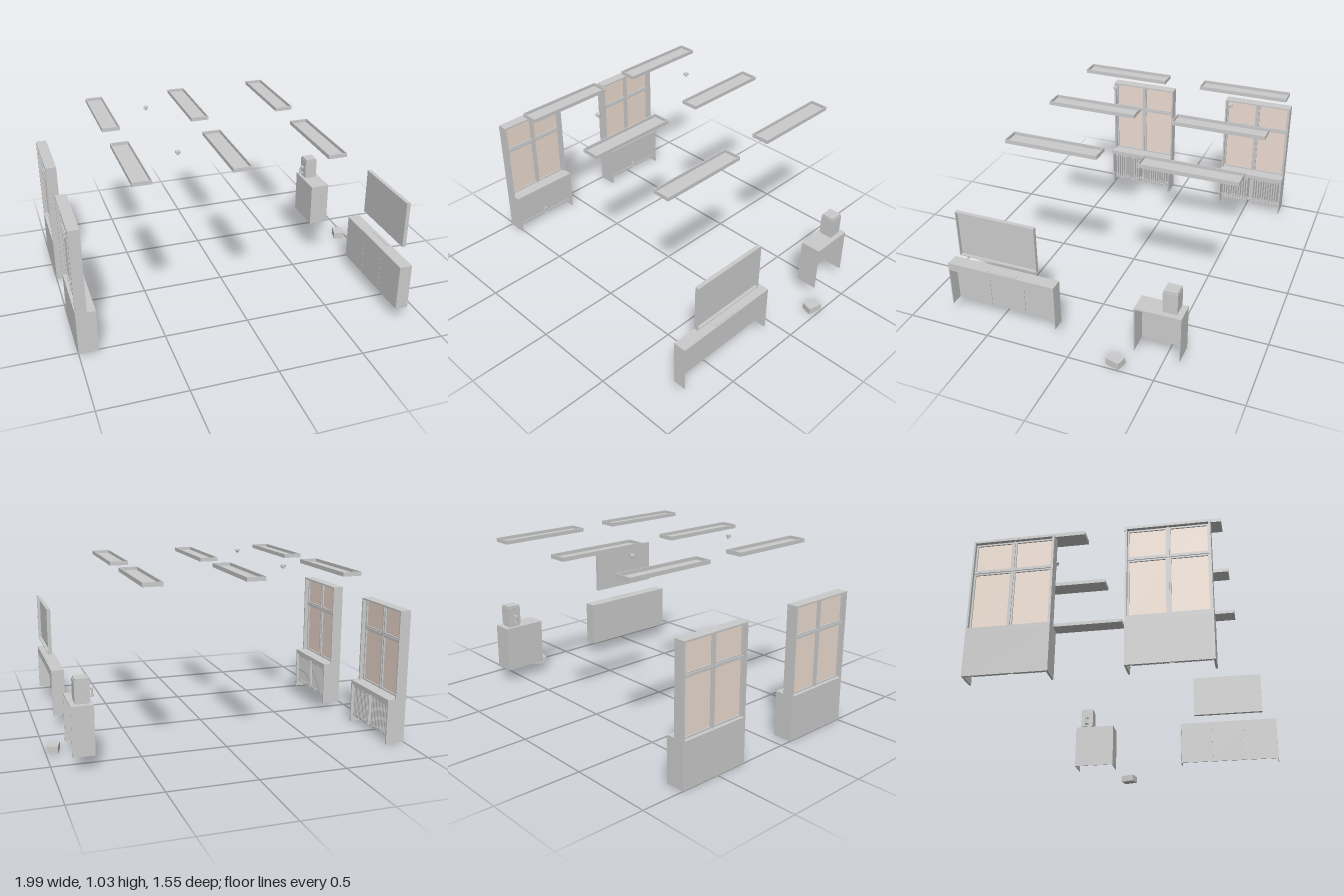
import * as THREE from 'three';

const grey = new THREE.MeshStandardMaterial({ color: 0xcccccc, side: THREE.DoubleSide });
const tan = new THREE.MeshStandardMaterial({ color: 0xeeddd0, side: THREE.DoubleSide });

// Box given by its limits on each axis
function box(parent, name, x0, x1, y0, y1, z0, z1, mat = grey) {
  const m = new THREE.Mesh(new THREE.BoxGeometry(x1 - x0, y1 - y0, z1 - z0), mat);
  m.position.set((x0 + x1) / 2, (y0 + y1) / 2, (z0 + z1) / 2);
  m.name = name;
  parent.add(m);
  return m;
}

function group(parent, name) {
  const g = new THREE.Group();
  g.name = name;
  parent.add(g);
  return g;
}

function cylinder(parent, name, r, length, x, y, z, axis = 'y') {
  const m = new THREE.Mesh(new THREE.CylinderGeometry(r, r, length, 12), grey);
  if (axis === 'z') m.rotation.x = Math.PI / 2;
  if (axis === 'x') m.rotation.z = Math.PI / 2;
  m.position.set(x, y, z);
  m.name = name;
  parent.add(m);
}

// Radiator: vertical columns joined by header pipes
function radiator(parent, z0, z1) {
  const g = group(parent, 'radiator');
  const n = 11, pitch = (z1 - z0) / n;
  for (let i = 0; i < n; i++) {
    const z = z0 + (i + 0.5) * pitch;
    box(g, 'radiatorColumn', -0.912, -0.898, 0.04, 0.235, z - 0.0045, z + 0.0045);
    box(g, 'radiatorFin', -0.97, -0.912, 0.04, 0.235, z - 0.003, z + 0.003);
    for (const y of [0.04, 0.222])
      box(g, 'radiatorLug', -0.914, -0.895, y, y + 0.016, z - 0.007, z + 0.007);
  }
  for (const y of [0.057, 0.225]) {
    box(g, 'radiatorHeader', -0.935, -0.906, y - 0.006, y + 0.006, z0, z1);
    cylinder(g, 'radiatorPipe', 0.006, z1 - z0 + 0.02, -0.92, y, (z0 + z1) / 2, 'z');
  }
}

// Window casing with four panes above a radiator recess
function windowUnit(parent, z0, z1) {
  const g = group(parent, 'windowUnit');
  const t = 0.01, zc = (z0 + z1) / 2;
  for (const z of [z0, z1 - t]) {
    box(g, 'casingSide', -1, -0.935, 0.265, 0.778, z, z + t);
    box(g, 'recessSide', -1, -0.885, 0, 0.24, z, z + t);
  }
  box(g, 'casingTop', -1, -0.935, 0.768, 0.778, z0 + t, z1 - t);
  box(g, 'sill', -1, -0.885, 0.24, 0.265, z0, z1);
  box(g, 'recessBack', -1, -0.99, 0, 0.24, z0 + t, z1 - t);
  box(g, 'mullion', -0.985, -0.955, 0.265, 0.768, zc - 0.005, zc + 0.005);
  box(g, 'transom', -0.985, -0.955, 0.59, 0.6, z0 + t, z1 - t);
  // Four sashes, each a frame around a pane
  const s = 0.009;
  for (const [a, b] of [[z0 + t, zc - 0.005], [zc + 0.005, z1 - t]])
    for (const [c, d] of [[0.265, 0.59], [0.6, 0.768]]) {
      box(g, 'sashStile', -0.98, -0.96, c, d, a, a + s);
      box(g, 'sashStile', -0.98, -0.96, c, d, b - s, b);
      box(g, 'sashRail', -0.98, -0.96, c, c + s, a + s, b - s);
      box(g, 'sashRail', -0.98, -0.96, d - s, d, a + s, b - s);
      box(g, 'pane', -0.973, -0.969, c + s, d - s, a + s, b - s, tan);
    }
  radiator(g, z0 + 0.022, zc - 0.013);
  radiator(g, zc + 0.013, z1 - 0.022);
}

// Ceiling light: shallow tray open at the top
function ceilingLight(parent, x0, x1, z0, z1) {
  const g = group(parent, 'ceilingLight');
  const y0 = 0.995, y1 = 1.018, t = 0.005;
  box(g, 'lightPanel', x0, x1, y0, y0 + t, z0, z1);
  for (const x of [x0, x1 - t]) box(g, 'lightSide', x, x + t, y0 + t, y1, z0, z1);
  for (const z of [z0, z1 - t]) box(g, 'lightEnd', x0 + t, x1 - t, y0 + t, y1, z, z + t);
}

// Cabinet with its back (+x) and underside open
function cabinet(parent, name, x0, x1, y0, y1, z0, z1, topThickness) {
  const g = group(parent, name);
  const t = 0.005, yt = y1 - topThickness;
  box(g, 'cabinetTop', x0, x1, yt, y1, z0, z1);
  for (const z of [z0, z1 - t]) box(g, 'cabinetSide', x0, x1, y0, yt, z, z + t);
  return g;
}

export function createModel() {
  const model = new THREE.Group();
  model.name = 'roomFurnishings';

  windowUnit(model, 0.073, 0.512);
  windowUnit(model, -0.743, -0.304);

  for (const [x0, x1] of [[-0.657, -0.55], [-0.11, -0.002], [0.44, 0.548]])
    for (const [z0, z1] of [[-0.778, -0.23], [0, 0.547]]) ceilingLight(model, x0, x1, z0, z1);

  // Smoke detectors between the lights
  const profile = [[0, 1.008], [0.007, 1.008], [0.009, 1.016], [0.015, 1.018], [0.015, 1.029], [0, 1.029]]
    .map(([r, y]) => new THREE.Vector2(r, y));
  for (const z of [-0.485, 0.25]) {
    const d = new THREE.Mesh(new THREE.LatheGeometry(profile, 20), grey.clone());
    d.material.flatShading = true;
    d.position.set(-0.33, 0, z);
    d.name = 'smokeDetector';
    model.add(d);
  }

  // Sideboard with three doors
  const low = cabinet(model, 'sideboard', 0.822, 0.898, 0.08, 0.361, 0.118, 0.776, 0.047);
  const w = (0.766 - 0.128) / 3;
  for (let i = 0; i < 3; i++)
    box(low, 'door', 0.822, 0.828, 0.08, 0.314, 0.123 + i * (w + 0.0033) + 0.001, 0.123 + (i + 1) * (w + 0.0033) - 0.001);
  box(low, 'topBar', 0.874, 0.89, 0.361, 0.364, 0.35, 0.53);

  // Wall screen, a shallow shell open toward the wall
  const screen = group(model, 'wallScreen');
  box(screen, 'screenPanel', 0.876, 0.881, 0.44, 0.72, 0.212, 0.686);
  for (const y of [0.44, 0.715]) box(screen, 'screenRim', 0.881, 0.899, y, y + 0.005, 0.212, 0.686);
  for (const z of [0.212, 0.681]) box(screen, 'screenRim', 0.881, 0.899, 0.445, 0.715, z, z + 0.005);

  // Small cabinet with a drinks machine on top
  const small = cabinet(model, 'smallCabinet', 0.775, 0.898, 0.08, 0.36, -0.61, -0.347, 0.008);
  box(small, 'cabinetFront', 0.775, 0.78, 0.08, 0.352, -0.605, -0.352);
  const machine = group(model, 'drinksMachine');
  box(machine, 'machineBase', 0.795, 0.868, 0.36, 0.37, -0.576, -0.502);
  box(machine, 'machineBody', 0.79, 0.872, 0.37, 0.488, -0.58, -0.497);
  box(machine, 'machineLid', 0.794, 0.868, 0.488, 0.499, -0.577, -0.5);
  box(machine, 'spoutBlock', 0.772, 0.79, 0.425, 0.437, -0.55, -0.528);
  box(machine, 'spoutBlock', 0.772, 0.79, 0.385, 0.393, -0.55, -0.528);
  cylinder(machine, 'handle', 0.006, 0.05, 0.771, 0.411, -0.539);

  // Small box standing askew on the floor
  const crate = box(model, 'floorBox', -0.032, 0.032, 0, 0.041, -0.043, 0.043);
  crate.position.set(0.952, 0.0205, -0.263);
  crate.rotation.y = -0.27;

  return model;
}
